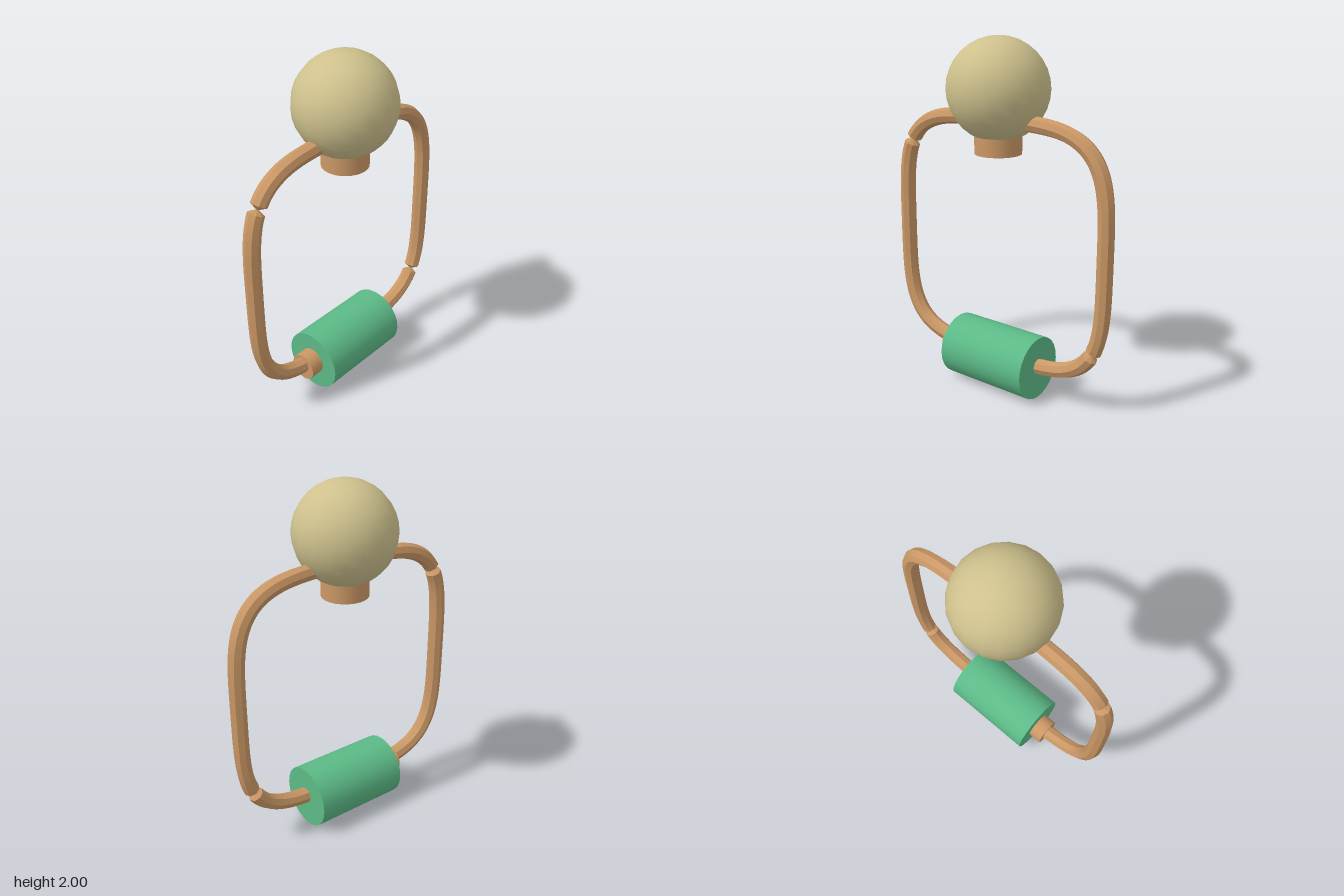
import * as THREE from 'three';

const wood = new THREE.MeshStandardMaterial({ color: 0xcb9866 });
wood.name = 'warm wood';
const green = new THREE.MeshStandardMaterial({ color: 0x5cba87 });
green.name = 'grip green';
const sand = new THREE.MeshStandardMaterial({ color: 0xcec18d });
sand.name = 'sand';

const HALF = 0.685, CENTRE_Y = 0.873, BAR = 0.045;
const RINGS = 240, SIDES = 8, PINCHES = [94, 214];

// Closed eight-sided bar along a rounded square, nipped to a thin neck at two rings
function ringBarGeometry() {
  const pos = [], index = [];
  for (let i = 0; i < RINGS; i++) {
    const t = (i / RINGS) * Math.PI * 2;
    const c = Math.cos(t), s = Math.sin(t);
    const d = HALF / Math.pow(c ** 4 + s ** 4, 0.25);
    const n = new THREE.Vector2(c ** 3, s ** 3).normalize();
    const r = PINCHES.includes(i) ? BAR * 0.15 : BAR;
    for (let j = 0; j < SIDES; j++) {
      const a = (j / SIDES) * Math.PI * 2;
      const out = r * Math.cos(a);
      pos.push(d * c + n.x * out, CENTRE_Y + d * s + n.y * out, r * Math.sin(a));
      const i2 = (i + 1) % RINGS, j2 = (j + 1) % SIDES;
      const p = i * SIDES + j, q = i2 * SIDES + j;
      const u = i * SIDES + j2, v = i2 * SIDES + j2;
      index.push(p, q, u, q, v, u);
    }
  }
  const geo = new THREE.BufferGeometry();
  geo.setAttribute('position', new THREE.Float32BufferAttribute(pos, 3));
  geo.setIndex(index);
  const flat = geo.toNonIndexed();
  flat.computeVertexNormals();
  return flat;
}

export function createModel() {
  const group = new THREE.Group();
  group.name = 'ringHandle';

  const add = (name, geometry, material, x, y) => {
    const mesh = new THREE.Mesh(geometry, material);
    mesh.name = name;
    mesh.position.set(x, y, 0);
    group.add(mesh);
    return mesh;
  };

  // Loop of bar
  add('ringBar', ringBarGeometry(), wood, 0, 0);

  // Ball and the short collar beneath it
  add('ball', new THREE.SphereGeometry(0.28, 20, 16), sand, 0, 1.72);
  add('ballCollar', new THREE.CylinderGeometry(0.13, 0.13, 0.15, 24), wood, 0, 1.45);

  // Grip lying along x, with a small collar at one end
  const grip = add('grip', new THREE.CylinderGeometry(0.18, 0.18, 0.565, 24), green, 0, 0.18);
  grip.rotation.z = Math.PI / 2;
  const gripCollar = add('gripCollar', new THREE.CylinderGeometry(0.08, 0.08, 0.12, 20), wood, -0.303, 0.183);
  gripCollar.rotation.z = Math.PI / 2;

  return group;
}
